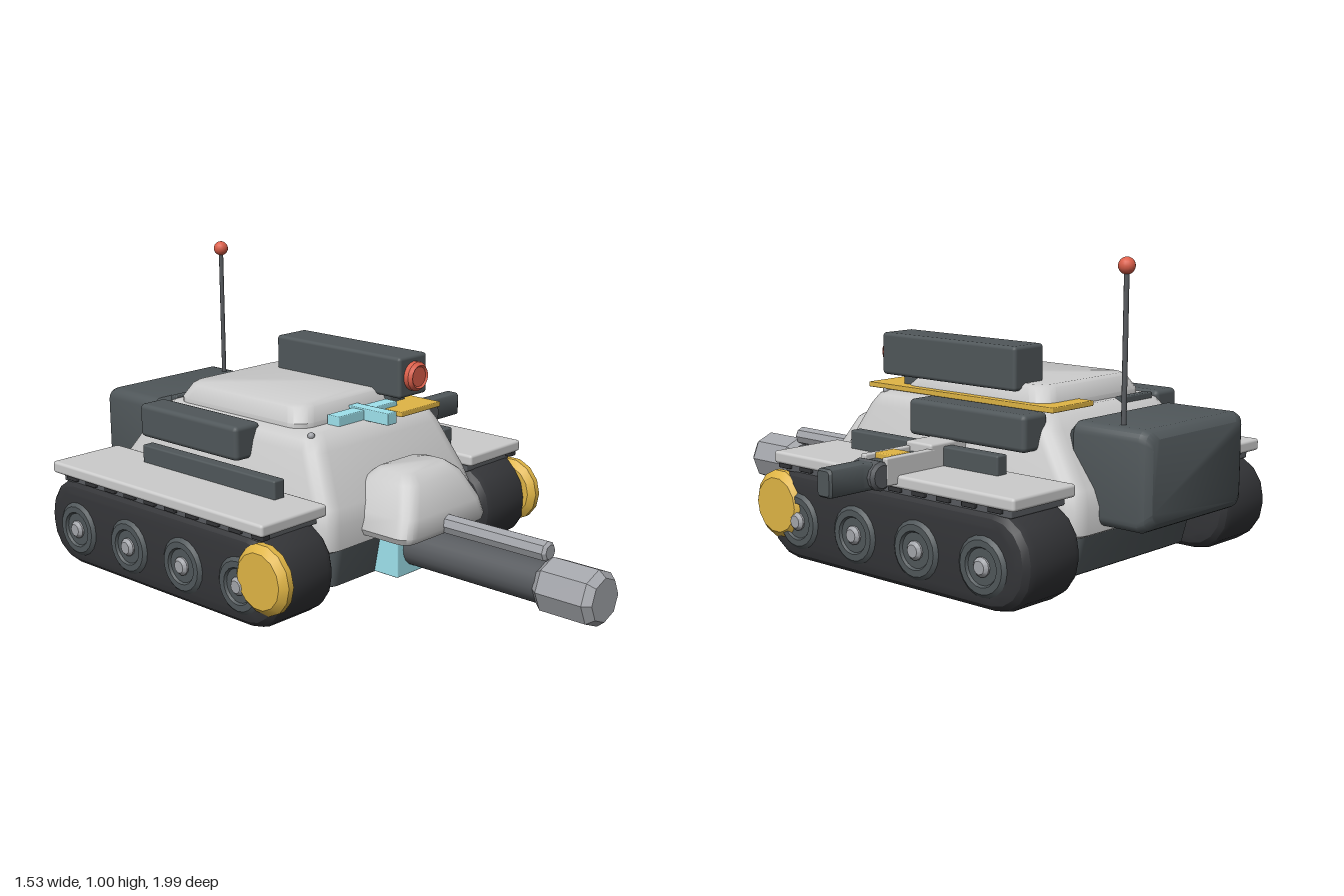
import * as THREE from 'three';
import { toCreasedNormals } from 'three/addons/utils/BufferGeometryUtils.js';
import { RoundedBoxGeometry } from 'three/addons/geometries/RoundedBoxGeometry.js';

const mat = (color) => new THREE.MeshStandardMaterial({ color });
const grey = mat(0xcccccc), slate = mat(0x50575a), black = mat(0x343538), gun = mat(0x585b5f);
const steel = mat(0xa3a5aa), yellow = mat(0xe0b545), red = mat(0xdc5f4a), blue = mat(0x9fe3ee);
const CX = -0.12; // middle of the vehicle

// Rounded-rectangle outline, anticlockwise
function outline(x0, x1, y0, y1, r) {
  const pts = [];
  const corners = [[x1 - r, y1 - r], [x0 + r, y1 - r], [x0 + r, y0 + r], [x1 - r, y0 + r]];
  corners.forEach(([x, y], c) => {
    for (let i = 0; i <= 4; i++) {
      const a = (c + i / 4) * Math.PI / 2;
      pts.push(new THREE.Vector2(x + r * Math.cos(a), y + r * Math.sin(a)));
    }
  });
  return pts;
}

// Solid through stacked rings [y, x0, x1, z0, z1, cornerRadius], bottom to top
function loft(rings, crease = 0.6) {
  const pos = [], idx = [], n = 20, last = rings.length - 1;
  for (const [y, x0, x1, z0, z1, r] of rings) {
    for (const p of outline(x0, x1, z0, z1, r)) pos.push(p.x, y, p.y);
  }
  for (let k = 0; k < last; k++) {
    for (let i = 0; i < n; i++) {
      const a = k * n + i, b = k * n + (i + 1) % n;
      idx.push(a, a + n, b, b, a + n, b + n);
    }
  }
  for (let i = 1; i < n - 1; i++) {
    idx.push(0, i, i + 1, last * n, last * n + i + 1, last * n + i);
  }
  const g = new THREE.BufferGeometry();
  g.setAttribute('position', new THREE.Float32BufferAttribute(pos, 3));
  g.setIndex(idx);
  return toCreasedNormals(g, crease);
}

export function createModel() {
  const model = new THREE.Group();
  const add = (name, geo, m, x = 0, y = 0, z = 0, parent = model) => {
    const mesh = new THREE.Mesh(geo, m);
    mesh.name = name;
    mesh.position.set(x, y, z);
    parent.add(mesh);
    return mesh;
  };
  // Box given by its limits, with softened edges
  const box = (name, m, x0, x1, y0, y1, z0, z1, r = 0.01, parent = model) =>
    add(name, new RoundedBoxGeometry(x1 - x0, y1 - y0, z1 - z0, 2, r), m,
      (x0 + x1) / 2, (y0 + y1) / 2, (z0 + z1) / 2, parent);
  // Turned part along an axis from a [radius, distance] profile
  const turned = (name, m, profile, sides, axis, x, y, z, parent = model) => {
    let g = new THREE.LatheGeometry(profile.map(([r, d]) => new THREE.Vector2(r, d)), sides);
    if (axis === 'z') g.rotateX(Math.PI / 2);
    if (axis === 'x') g.rotateZ(-Math.PI / 2);
    g = toCreasedNormals(g, 0.5);
    return add(name, g, m, x, y, z, parent);
  };

  // Hull
  add('lowerHull', loft([
    [0.035, -0.4, 0.16, -0.72, 0.14, 0.03], [0.05, -0.42, 0.18, -0.75, 0.17, 0.03],
    [0.2, -0.42, 0.18, -0.79, 0.2, 0.03]]), slate);
  add('upperHull', loft([
    [0.175, -0.47, 0.23, -0.79, 0.19, 0.05], [0.19, -0.49, 0.25, -0.82, 0.22, 0.06],
    [0.27, -0.49, 0.25, -0.82, 0.22, 0.06], [0.32, -0.475, 0.235, -0.8, 0.205, 0.06],
    [0.48, -0.435, 0.195, -0.68, 0.12, 0.06], [0.515, -0.42, 0.18, -0.65, 0.095, 0.06],
    [0.53, -0.39, 0.15, -0.62, 0.065, 0.05]], 0.8), grey);
  add('roofHatch', loft([
    [0.52, -0.38, 0.13, -0.6, 0.005, 0.06], [0.545, -0.38, 0.13, -0.6, 0.005, 0.06],
    [0.59, -0.355, 0.105, -0.575, -0.02, 0.06], [0.598, -0.34, 0.09, -0.56, -0.035, 0.05]]), grey);
  box('roofSlot', slate, -0.365, -0.205, 0.515, 0.537, -0.645, -0.615, 0.004);
  for (const s of [-1, 1]) add('roofRivet', new THREE.SphereGeometry(0.012, 10, 8), steel, CX + s * 0.27, 0.525, 0.06);

  // Main gun
  add('mantlet', loft([
    [0.215, -0.32, 0.08, 0.08, 0.4, 0.04], [0.235, -0.33, 0.085, 0.08, 0.41, 0.05],
    [0.29, -0.31, 0.07, 0.09, 0.4, 0.05], [0.385, -0.26, 0.02, 0.15, 0.36, 0.05],
    [0.412, -0.23, -0.01, 0.18, 0.32, 0.04]], 0.8), grey);
  turned('barrel', gun, [[0, 0.1], [0.067, 0.1], [0.067, 0.82], [0, 0.82]], 20, 'z', CX, 0.14, 0);
  turned('muzzle', steel, [[0, 0.785], [0.07, 0.785], [0.09, 0.81], [0.09, 0.975], [0.07, 1], [0, 1]],
    8, 'z', CX, 0.14, 0);
  turned('recoilTube', steel, [[0, 0.2], [0.033, 0.2], [0.033, 0.79], [0.024, 0.8], [0, 0.8]], 8, 'z', CX, 0.242, 0);
  box('gunCradle', blue, -0.215, -0.025, 0.05, 0.2, 0.12, 0.27, 0.005);

  // Running gear, mirrored about the vehicle's middle
  for (const s of [-1, 1]) {
    const side = new THREE.Group();
    side.name = s > 0 ? 'leftSide' : 'rightSide';
    side.position.x = CX;
    model.add(side);
    const mirrored = (name, m, a, b, ...rest) =>
      box(name, m, Math.min(s * a, s * b), Math.max(s * a, s * b), ...rest, side);

    const belt = new THREE.ExtrudeGeometry(new THREE.Shape(outline(-0.81, 0.22, 0.045, 0.255, 0.095)), {
      depth: 0.17, bevelEnabled: true, bevelSize: 0.045, bevelThickness: 0.045, bevelSegments: 3 });
    belt.rotateY(-Math.PI / 2).translate(0.085, 0, 0);
    add('track', toCreasedNormals(belt, 0.5), black, s * 0.498, 0, 0, side);

    for (const z of [0.1, -0.16, -0.425, -0.69]) {
      const wheel = new THREE.Group();
      wheel.name = 'roadWheel';
      wheel.position.set(s * 0.6, 0.135, z);
      if (s < 0) wheel.rotation.y = Math.PI;
      side.add(wheel);
      turned('rim', slate, [[0, 0], [0.092, 0], [0.092, 0.028], [0.08, 0.038], [0.06, 0.038], [0.055, 0.03], [0, 0.03]],
        20, 'x', 0, 0, 0, wheel);
      turned('hub', steel, [[0, 0], [0.03, 0], [0.03, 0.036], [0.02, 0.046], [0, 0.046]], 12, 'x', 0, 0, 0, wheel);
    }

    const disc = turned('frontDisc', yellow,
      [[0, -0.028], [0.09, -0.028], [0.113, -0.01], [0.113, 0.01], [0.09, 0.03], [0, 0.03]],
      14, 'x', s * 0.612, 0.175, 0.195, side);
    if (s < 0) disc.rotation.y = Math.PI;

    mirrored('fender', grey, 0.355, 0.635, 0.312, 0.352, -0.81, 0.21, 0.01);
    mirrored('fenderRail', gun, 0.37, 0.61, 0.285, 0.315, -0.78, 0.18, 0.005);
    for (let i = 0; i < 10; i++) mirrored('fenderClip', black, 0.59, 0.623, 0.296, 0.314, -0.75 + i * 0.1, -0.7 + i * 0.1, 0.003);
    mirrored('fenderBar', slate, 0.39, 0.435, 0.345, 0.412, -0.575, 0.06, 0.006);
    mirrored('sideBin', slate, 0.28, 0.39, 0.42, 0.535, -0.64, -0.16, 0.016);
  }

  // Rear stowage and antenna
  const bin = loft([
    [-0.99, -0.35, 0.11, 0.235, 0.485, 0.03], [-0.975, -0.375, 0.13, 0.215, 0.505, 0.035],
    [-0.955, -0.382, 0.138, 0.205, 0.512, 0.035], [-0.72, -0.382, 0.138, 0.205, 0.512, 0.035],
    [-0.69, -0.36, 0.116, 0.225, 0.49, 0.03]].map(([z, x0, x1, y0, y1, r]) => [z, x0, x1, -y1, -y0, r]));
  bin.rotateX(Math.PI / 2); // stacked along z instead of y
  add('rearBin', bin, slate);
  add('antenna', new THREE.CylinderGeometry(0.008, 0.008, 0.48, 10), gun, 0.08, 0.74, -0.86);
  add('antennaTip', new THREE.SphereGeometry(0.026, 16, 12), red, 0.08, 0.979, -0.86);

  // Roof equipment
  box('sightMount', yellow, -0.042, 0.158, 0.53, 0.547, -0.655, 0.135, 0.003);
  box('mountPost', slate, 0.03, 0.11, 0.54, 0.59, -0.4, 0.02, 0.006);
  box('sightHousing', slate, 0, 0.14, 0.575, 0.715, -0.49, 0.09, 0.012);
  turned('sightLens', red, [[0, 0], [0.05, 0], [0.05, 0.02], [0.04, 0.032], [0.034, 0.026], [0, 0.026]],
    16, 'z', 0.07, 0.645, 0.088);
  box('crossBar', blue, -0.265, 0.02, 0.525, 0.562, 0.01, 0.062, 0.003);
  box('crossStem', blue, -0.145, -0.1, 0.527, 0.567, -0.01, 0.165, 0.003);

  // Side gun on the left fender
  const arm = new THREE.Group();
  arm.name = 'sideGun';
  arm.position.z = -0.3;
  model.add(arm);
  box('armBase', grey, 0.2, 0.37, 0.33, 0.425, -0.055, 0.055, 0.008, arm);
  for (const z of [-0.045, 0.045]) box('armRail', grey, 0.35, 0.56, 0.325, 0.41, z - 0.011, z + 0.011, 0.005, arm);
  box('armCore', slate, 0.35, 0.58, 0.335, 0.395, -0.034, 0.034, 0.005, arm);
  box('armBand', yellow, 0.44, 0.52, 0.34, 0.412, -0.036, 0.036, 0.004, arm);
  turned('armJoint', gun, [[0, -0.055], [0.035, -0.055], [0.045, -0.045], [0.045, 0.045], [0.035, 0.055], [0, 0.055]],
    12, 'z', 0.575, 0.357, 0, arm);
  add('sideBarrel', loft([
    [0.58, -0.045, 0.045, -0.04, 0.04, 0.015], [0.63, -0.03, 0.03, -0.043, 0.043, 0.012],
    [0.755, -0.03, 0.03, -0.043, 0.043, 0.012], [0.763, -0.024, 0.024, -0.037, 0.037, 0.01],
  ]).rotateX(Math.PI / 2).rotateY(Math.PI / 2), slate, 0, 0.358, 0, arm);

  return model;
}
